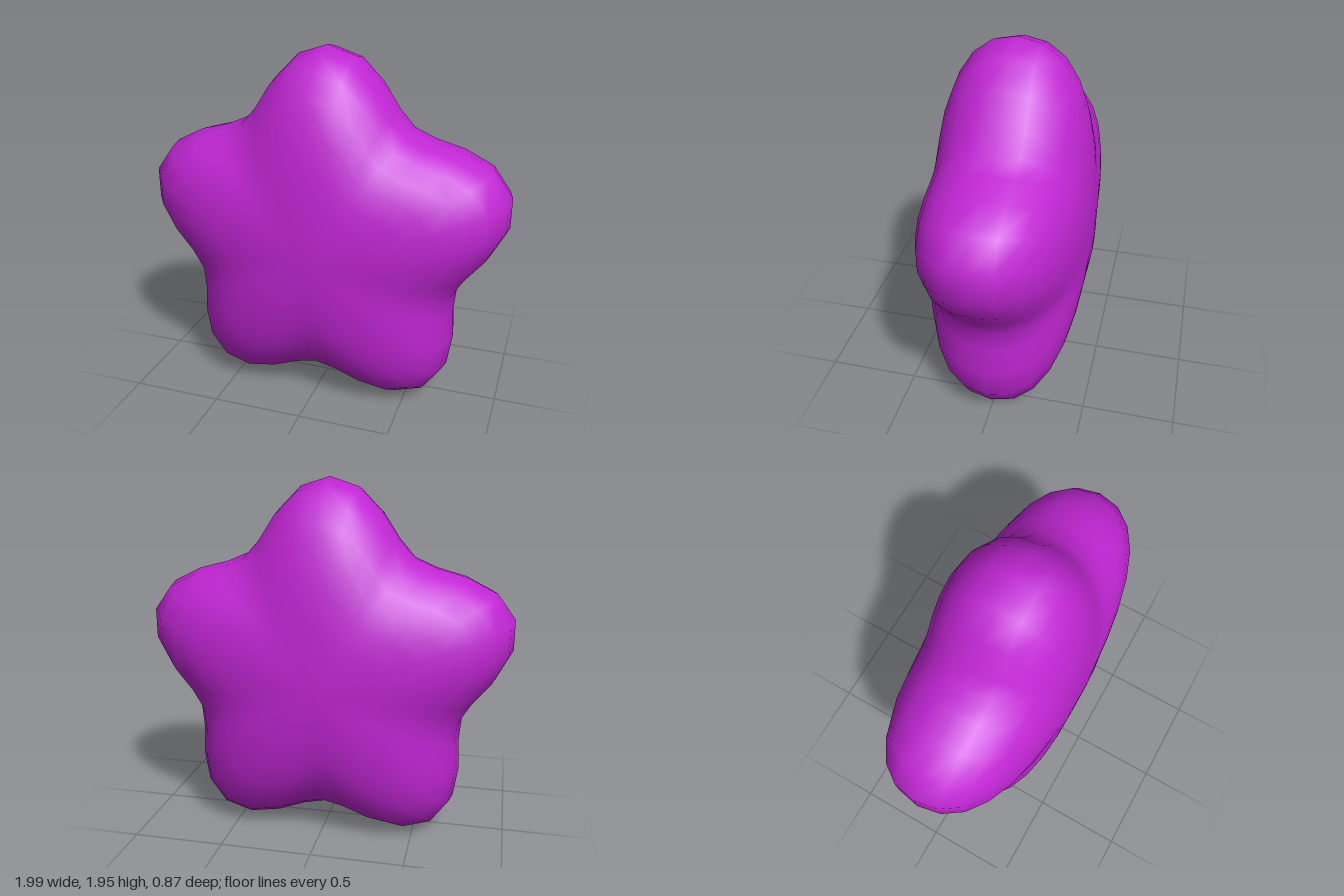
import * as THREE from 'three';
import { mergeVertices } from 'three/addons/utils/BufferGeometryUtils.js';

const CENTRE_Y = 0.9;
const TIP = 1.048;      // radius at the arm tips
const WAVE = 0.133;     // half the difference between tip and notch radius
const HALF_DEPTH = 0.433;

// Sphere whose poles face +z and -z, reshaped into a puffy five-armed star
function puffyStarGeometry() {
  const sphere = new THREE.SphereGeometry(1, 40, 20);
  sphere.rotateX(Math.PI / 2);
  sphere.deleteAttribute('uv');
  sphere.deleteAttribute('normal');
  const geometry = mergeVertices(sphere, 1e-4);
  const pos = geometry.attributes.position;
  for (let i = 0; i < pos.count; i++) {
    const x = pos.getX(i), y = pos.getY(i), z = pos.getZ(i);
    const angle = Math.atan2(x, y);            // measured from the top arm
    const ring = x * x + y * y;                // 1 at the rim, 0 at the poles
    const fade = Math.min(1, 0.45 + 0.75 * ring); // arms soften towards the middle
    const radius = ring * (TIP - WAVE * fade * (1 - Math.cos(5 * angle)));
    const depth = HALF_DEPTH * (1 - (1 - Math.abs(z)) ** 2);
    pos.setXYZ(
      i,
      Math.sin(angle) * radius,
      CENTRE_Y + Math.cos(angle) * radius,
      Math.sign(z) * depth
    );
  }
  geometry.computeVertexNormals();
  return geometry;
}

export function createModel() {
  const model = new THREE.Group();
  model.name = 'puffyStar';
  const purple = new THREE.MeshStandardMaterial({ color: 0xc026d3 });
  purple.name = 'purple';
  const body = new THREE.Mesh(puffyStarGeometry(), purple);
  body.name = 'starBody';
  model.add(body);
  return model;
}
